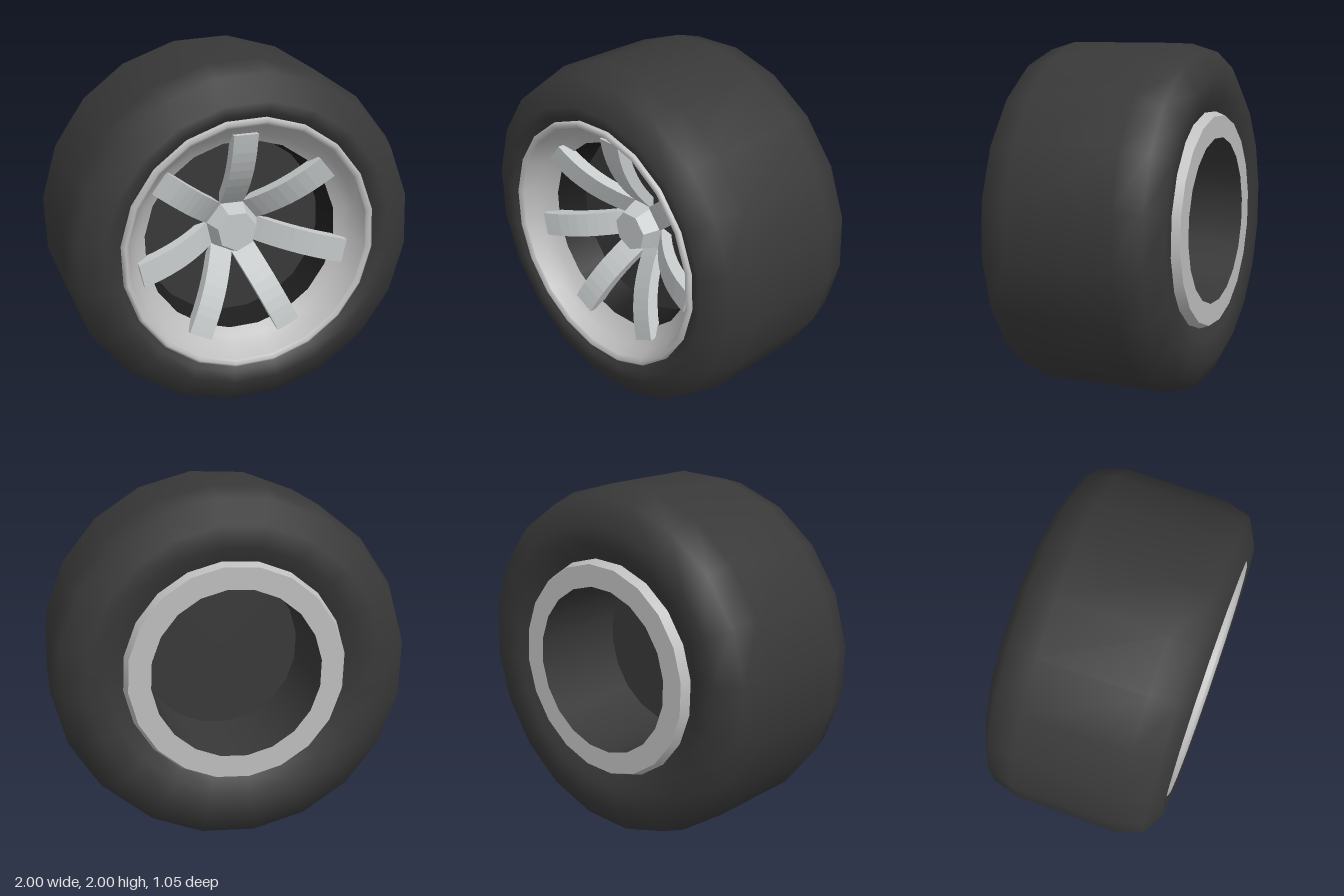
import * as THREE from 'three';

const SIDES = 20;
const START = THREE.MathUtils.degToRad(11.2);

export function createModel() {
  const wheel = new THREE.Group();
  wheel.name = 'wheel';

  const rubber = new THREE.MeshStandardMaterial({ name: 'dark rubber', color: 0x383838 });
  const shadowGap = new THREE.MeshStandardMaterial({ name: 'black recess', color: 0x1e1e1e });
  const rimMetal = new THREE.MeshStandardMaterial({ name: 'rim grey', color: 0xbebebe });
  const spokeMetal = new THREE.MeshStandardMaterial({ name: 'spoke silver', color: 0xc4c8c9 });

  const add = (name, geometry, material) => {
    const mesh = new THREE.Mesh(geometry, material);
    mesh.name = name;
    wheel.add(mesh);
    return mesh;
  };

  // Revolves [radius, z] points around the axle; each call is one smooth surface
  const revolve = (name, points, material) => {
    const profile = points.map(([r, z]) => new THREE.Vector2(r, z));
    const geometry = new THREE.LatheGeometry(profile, SIDES, START, Math.PI * 2);
    add(name, geometry.rotateX(Math.PI / 2), material);
  };

  // Tyre with rounded shoulders and sidewalls dipping in towards the rim
  revolve('tyre', [
    [0.61, -0.465], [0.70, -0.51], [0.82, -0.527], [0.96, -0.455], [1.006, -0.30],
    [1.006, 0.30], [0.96, 0.455], [0.82, 0.527], [0.76, 0.515], [0.72, 0.48],
  ], rubber);

  // Front rim: rolled lip and dished bowl
  revolve('rimLip', [[0.73, 0.47], [0.728, 0.505], [0.71, 0.52], [0.69, 0.50]], rimMetal);
  revolve('rimBowl', [[0.69, 0.50], [0.66, 0.43], [0.61, 0.375], [0.56, 0.34]], rimMetal);

  // Recess behind the spokes and the plate closing it
  revolve('recessWall', [[0.56, 0.34], [0.53, 0.15]], shadowGap);
  revolve('frontPlate', [[0.53, 0.15], [0, 0.15]], rubber);

  // Back rim ring with a bevelled edge, and the hollow inside it
  revolve('backHollowPlate', [[0, 0.05], [0.475, 0.05]], rubber);
  revolve('backHollowWall', [[0.475, 0.05], [0.475, -0.525]], rubber);
  revolve('backRing', [[0.475, -0.525], [0.60, -0.525]], rimMetal);
  revolve('backRingBevel', [[0.60, -0.525], [0.625, -0.46]], rimMetal);

  // Seven arched spokes, drawn in the radius/z plane and extruded to their width
  const spokeCount = 7, width = 0.14, thickness = 0.075;
  const arch = new THREE.SplineCurve([
    [0.11, 0.13], [0.20, 0.22], [0.33, 0.315], [0.47, 0.38], [0.61, 0.415],
  ].map(([r, z]) => new THREE.Vector2(r, z)));
  const front = arch.getPoints(10);
  const back = front.map((p) => new THREE.Vector2(p.x, p.y - thickness)).reverse();
  const spokeGeometry = new THREE.ExtrudeGeometry(
    new THREE.Shape([...front, ...back]), { depth: width, bevelEnabled: false });
  spokeGeometry.translate(0, 0, -width / 2);
  spokeGeometry.applyMatrix4(new THREE.Matrix4().makeBasis(
    new THREE.Vector3(0, 1, 0), new THREE.Vector3(0, 0, 1), new THREE.Vector3(1, 0, 0)));
  for (let i = 0; i < spokeCount; i++) {
    add('spoke', spokeGeometry, spokeMetal).rotation.z = (i / spokeCount) * Math.PI * 2;
  }

  // Seven-sided hub with a tapered front
  const hub = (rFront, rBack, z0, z1) => {
    const geometry = new THREE.CylinderGeometry(rFront, rBack, z1 - z0, spokeCount).toNonIndexed();
    geometry.computeVertexNormals();
    return geometry.rotateX(Math.PI / 2).translate(0, 0, (z0 + z1) / 2);
  };
  add('hubBase', hub(0.153, 0.153, 0.06, 0.17), spokeMetal);
  add('hubCap', hub(0.117, 0.153, 0.17, 0.27), spokeMetal);

  // Lift so the tyre stands on the ground
  wheel.children.forEach((part) => { part.position.y = 1; });
  return wheel;
}
